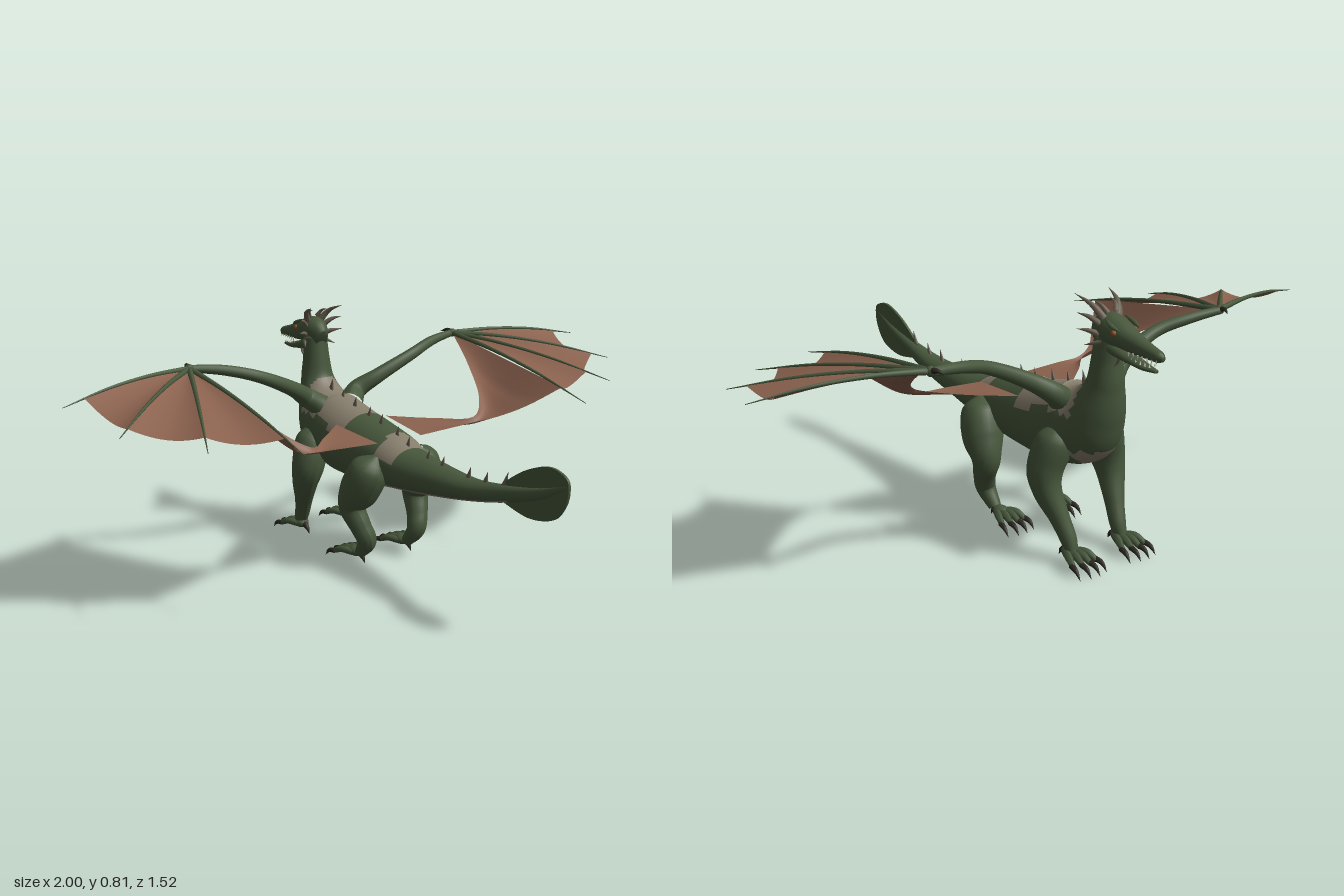
import * as THREE from 'three';

const mat = (name, color, side = THREE.FrontSide) => {
  const m = new THREE.MeshStandardMaterial({ color, side });
  m.name = name;
  return m;
};
const V = (p, sx = 1) => new THREE.Vector3(p[0] * sx, p[1], p[2]);

// Body-like loft: stations are [z, y, half width, half height], running toward -z
function loft(stations, segs, sides, isPatch) {
  const path = new THREE.CatmullRomCurve3(stations.map(s => new THREE.Vector3(0, s[1], s[0])));
  const size = new THREE.CatmullRomCurve3(stations.map(s => new THREE.Vector3(s[2], s[3], 0)));
  const pos = [], main = [], patch = [];
  for (let i = 0; i <= segs; i++) {
    const t = i / segs, c = path.getPoint(t), r = size.getPoint(t), d = path.getTangent(t);
    for (let j = 0; j < sides; j++) {
      const a = j / sides * Math.PI * 2, n = Math.sin(a) * r.y;
      pos.push(Math.cos(a) * r.x, c.y - d.z * n, c.z + d.y * n);
    }
  }
  for (let i = 0; i < segs; i++) for (let j = 0; j < sides; j++) {
    const k = (j + 1) % sides, a = i * sides + j, b = i * sides + k;
    const c = a + sides, d = b + sides;
    const s = Math.sin((j + 0.5) / sides * Math.PI * 2);
    const y = (pos[a * 3 + 1] + pos[d * 3 + 1]) / 2, z = (pos[a * 3 + 2] + pos[d * 3 + 2]) / 2;
    (isPatch && isPatch(y, z, s) ? patch : main).push(a, c, b, b, c, d);
  }
  // end caps
  const last = segs * sides;
  for (let j = 1; j < sides - 1; j++) main.push(0, j, j + 1, last, last + j + 1, last + j);
  const g = new THREE.BufferGeometry();
  g.setAttribute('position', new THREE.Float32BufferAttribute(pos, 3));
  g.setIndex([...main, ...patch]);
  g.addGroup(0, main.length, 0);
  if (patch.length) g.addGroup(main.length, patch.length, 1);
  g.computeVertexNormals();
  return g;
}

// Tube along points whose radius follows a list of values
function taper(points, radii, sx = 1, segs = 24, sides = 14) {
  const curve = new THREE.CatmullRomCurve3(points.map(p => V(p, sx)));
  const rc = new THREE.CatmullRomCurve3(radii.map((r, i) => new THREE.Vector3(r, i, 0)));
  const g = new THREE.TubeGeometry(curve, segs, 1, sides);
  const P = g.attributes.position, v = new THREE.Vector3();
  for (let i = 0; i <= segs; i++) {
    const u = curve.getUtoTmapping(i / segs);
    const c = curve.getPoint(u), r = Math.max(rc.getPoint(u).x, 0.0004);
    for (let j = 0; j <= sides; j++) {
      const k = i * (sides + 1) + j;
      v.fromBufferAttribute(P, k).sub(c).multiplyScalar(r).add(c);
      P.setXYZ(k, v.x, v.y, v.z);
    }
  }
  g.computeVertexNormals();
  return g;
}

// Sheet spanned between two curves, with an optional sag
function sheet(edgeA, edgeB, nu, nv, sag = () => [0, 0]) {
  const pos = [], idx = [];
  for (let i = 0; i <= nu; i++) for (let j = 0; j <= nv; j++) {
    const u = i / nu, v = j / nv, [drop, pull] = sag(u, v);
    const p = edgeA.getPoint(u * (1 - pull)).lerp(edgeB.getPoint(u * (1 - pull)), v);
    pos.push(p.x, p.y - drop, p.z);
    if (i < nu && j < nv) {
      const a = i * (nv + 1) + j, b = a + nv + 1;
      idx.push(a, b, a + 1, a + 1, b, b + 1);
    }
  }
  const g = new THREE.BufferGeometry();
  g.setAttribute('position', new THREE.Float32BufferAttribute(pos, 3));
  g.setIndex(idx);
  g.computeVertexNormals();
  return g;
}

export function createModel() {
  const root = new THREE.Group();
  root.name = 'dragon';
  const green = mat('green scales', 0x46563b), tan = mat('tan patches', 0x857c6b);
  const skin = mat('wing skin', 0x8a614e, THREE.DoubleSide), horn = mat('horn', 0x6a6152);
  const claw = mat('dark claw', 0x2b271f), ivory = mat('tooth ivory', 0xdcd6c4);
  const amber = mat('eye amber', 0x8a4a24);
  const add = (name, geo, m, parent = root) => {
    const mesh = new THREE.Mesh(geo, m);
    mesh.name = name;
    parent.add(mesh);
    return mesh;
  };
  const group = name => {
    const g = new THREE.Group();
    g.name = name;
    root.add(g);
    return g;
  };

  // Tail, trunk and neck in one skin with tan patches
  const patches = (y, z, s) =>
    (z > -0.22 && z < 0.52 && s < -0.68) ||
    (z > -0.05 && z < 0.03 && s > 0.45) ||
    (z > -0.31 && z < -0.22 && s > 0.3) ||
    (z > -0.48 && z <= -0.31 && y > 0.455 && y < 0.56) ||
    (z > -0.54 && z < -0.47 && y > 0.28 && y < 0.35);
  const spine = [[0.755, 0.48, 0.004, 0.006], [0.65, 0.435, 0.014, 0.017], [0.5, 0.395, 0.027, 0.026],
    [0.35, 0.367, 0.044, 0.034], [0.2, 0.356, 0.06, 0.05], [0.04, 0.352, 0.082, 0.069],
    [-0.06, 0.362, 0.1, 0.092], [-0.2, 0.37, 0.112, 0.11], [-0.34, 0.383, 0.115, 0.124],
    [-0.44, 0.415, 0.11, 0.125], [-0.495, 0.475, 0.086, 0.088], [-0.525, 0.55, 0.058, 0.056],
    [-0.53, 0.625, 0.046, 0.045], [-0.535, 0.7, 0.04, 0.04]];
  add('body', loft(spine, 110, 32, patches), [green, tan]);

  // Tail blade
  const blade = new THREE.Shape();
  blade.moveTo(0.48, 0.37);
  blade.splineThru([[0.6, 0.35], [0.7, 0.37], [0.745, 0.415], [0.762, 0.465], [0.75, 0.505],
    [0.68, 0.52], [0.58, 0.485], [0.48, 0.42]].map(p => new THREE.Vector2(...p)));
  const bladeGeo = new THREE.ExtrudeGeometry(blade, { depth: 0.008, bevelEnabled: false });
  add('tailBlade', bladeGeo.translate(0, 0, -0.004).rotateY(-Math.PI / 2), green);

  // Back spikes
  const spikes = group('backSpikes');
  const ridge = [[0.5, 0.425], [0.41, 0.405], [0.33, 0.4], [0.2, 0.402], [0.125, 0.405], [0.02, 0.425],
    [-0.04, 0.445], [-0.13, 0.468], [-0.2, 0.478], [-0.285, 0.495], [-0.36, 0.507], [-0.43, 0.53]];
  for (const [z, y] of ridge) {
    const s = add('backSpike', new THREE.ConeGeometry(0.013, 0.046, 8).scale(0.5, 1, 1), horn, spikes);
    s.position.set(0, y + 0.015, z);
    s.rotation.x = 0.3;
  }

  // Head and jaw
  const head = group('head');
  add('skull', loft([[-0.49, 0.69, 0.022, 0.035], [-0.535, 0.715, 0.043, 0.05], [-0.585, 0.713, 0.043, 0.04],
    [-0.64, 0.7, 0.031, 0.031], [-0.7, 0.69, 0.022, 0.022], [-0.745, 0.684, 0.016, 0.016],
    [-0.76, 0.682, 0.006, 0.007]], 36, 20), green, head);
  add('jaw', loft([[-0.54, 0.675, 0.034, 0.026], [-0.62, 0.655, 0.026, 0.015], [-0.69, 0.643, 0.018, 0.01],
    [-0.735, 0.641, 0.007, 0.005]], 20, 16), green, head);
  for (const sx of [1, -1]) {
    const eye = add('eye', new THREE.SphereGeometry(0.009, 12, 8), amber, head);
    eye.position.set(0.038 * sx, 0.722, -0.598);
    add('brow', taper([[0.036, 0.732, -0.62], [0.041, 0.742, -0.59], [0.036, 0.755, -0.56]],
      [0.002, 0.007, 0.002], sx, 8, 8), green, head);
    // teeth
    for (let i = 0; i < 7; i++) {
      const f = i / 6, z = -0.645 - 0.1 * f;
      const up = add('upperTooth', new THREE.ConeGeometry(0.003, 0.014, 6), ivory, head);
      up.position.set(sx * (0.023 - 0.011 * f), 0.67 + 0.002 * f, z);
      up.rotation.x = Math.PI;
      if (i === 6) continue;
      const low = add('lowerTooth', new THREE.ConeGeometry(0.003, 0.012, 6), ivory, head);
      low.position.set(sx * (0.018 - 0.009 * f), 0.656, z + 0.012);
    }
    // horns, cheek and chin spikes
    const horns = [
      [[0.025, 0.75, -0.54], [0.045, 0.785, -0.515], [0.062, 0.81, -0.455], 0.012],
      [[0.035, 0.735, -0.535], [0.058, 0.755, -0.515], [0.082, 0.765, -0.49], 0.01],
      [[0.037, 0.705, -0.535], [0.058, 0.715, -0.515], [0.085, 0.72, -0.495], 0.01],
      [[0.033, 0.685, -0.545], [0.048, 0.678, -0.525], [0.06, 0.67, -0.5], 0.008],
      [[0.015, 0.765, -0.545], [0.025, 0.785, -0.53], [0.03, 0.795, -0.5], 0.008],
      [[0.015, 0.65, -0.6], [0.017, 0.635, -0.595], [0.018, 0.618, -0.58], 0.006]];
    for (const [a, b, c, r] of horns) add('horn', taper([a, b, c], [r, r * 0.65, 0], sx, 10, 8), horn, head);
  }

  // Legs with toes and claws
  const foot = (x, z, sx, g) => {
    const pad = add('footPad', new THREE.SphereGeometry(0.024, 14, 10).scale(1, 0.75, 1.3), green, g);
    pad.position.set(x * sx, 0.042, z - 0.015);
    for (let i = -1.5; i <= 1.5; i++) {
      const dx = i * 0.022, len = 0.1 - Math.abs(i) * 0.01;
      const tip = [x + dx * 1.3, 0.028, z - len];
      add('toe', taper([[x + dx * 0.4, 0.04, z - 0.01], [x + dx, 0.043, z - len * 0.6], tip],
        [0.012, 0.012, 0.008], sx, 10, 8), green, g);
      add('claw', taper([[tip[0], 0.031, tip[2] + 0.01], [tip[0] + dx * 0.15, 0.026, tip[2] - 0.018],
        [tip[0] + dx * 0.2, 0.004, tip[2] - 0.04]], [0.009, 0.007, 0], sx, 8, 8), claw, g);
    }
    add('heelClaw', taper([[x, 0.045, z], [x, 0.032, z + 0.025], [x, 0.012, z + 0.038]],
      [0.012, 0.008, 0], sx, 8, 8), claw, g);
  };
  for (const sx of [1, -1]) {
    const side = sx > 0 ? 'left' : 'right';
    const hind = group(side + 'HindLeg');
    add('hindLimb', taper([[0.085, 0.395, -0.035], [0.1, 0.355, -0.05], [0.118, 0.28, -0.085],
      [0.128, 0.215, -0.118], [0.115, 0.15, -0.09], [0.1, 0.1, -0.075], [0.095, 0.045, -0.12]],
      [0.01, 0.06, 0.066, 0.046, 0.036, 0.032, 0.02], sx, 36, 18), green, hind);
    foot(0.095, -0.135, sx, hind);
    const fore = group(side + 'ForeLeg');
    add('foreLimb', taper([[0.075, 0.42, -0.42], [0.09, 0.37, -0.418], [0.118, 0.28, -0.405],
      [0.122, 0.22, -0.42], [0.106, 0.14, -0.46], [0.095, 0.075, -0.493], [0.095, 0.04, -0.51]],
      [0.01, 0.055, 0.056, 0.045, 0.031, 0.025, 0.018], sx, 36, 18), green, fore);
    foot(0.095, -0.475 - 0.01, sx, fore);

    // Wing arm
    const wing = group(side + 'Wing');
    add('wingArm', taper([[0.06, 0.48, -0.4], [0.1, 0.51, -0.43], [0.17, 0.555, -0.405], [0.31, 0.62, -0.39],
      [0.42, 0.65, -0.42], [0.535, 0.665, -0.445]], [0.04, 0.034, 0.026, 0.02, 0.017, 0.012], sx, 36), green, wing);
    const wrist = [0.53, 0.665, -0.44];
    const knob = add('wrist', new THREE.SphereGeometry(0.015, 12, 8), green, wing);
    knob.position.copy(V(wrist, sx));
    add('thumbClaw', taper([wrist, [0.527, 0.672, -0.465], [0.515, 0.665, -0.49]], [0.011, 0.007, 0], sx, 8, 8), claw, wing);

    // Fingers: tip and the share of the finger that carries skin
    const fingers = [[[1, 0.632, -0.31], 0.84], [[0.94, 0.588, -0.05], 0.9],
      [[0.765, 0.56, 0.14], 0.86], [[0.53, 0.54, 0.27], 0.84]].map(([tip, reach]) => {
      const at = f => [wrist[0] + (tip[0] - wrist[0]) * f,
        wrist[1] + (tip[1] - wrist[1]) * f + 0.07 * f * (1 - f), wrist[2] + (tip[2] - wrist[2]) * f];
      add('finger', taper([0, 0.33, 0.66, 1].map(at), [0.01, 0.007, 0.005, 0.001], sx, 20, 8), green, wing);
      return new THREE.CatmullRomCurve3([0, 0.33, 0.66, 1].map(f => V(at(f * reach), sx)));
    });
    for (let i = 0; i < 3; i++) {
      add('wingSkin', sheet(fingers[i], fingers[i + 1], 14, 12, (u, v) => {
        const bow = 4 * v * (1 - v);
        return [0.028 * u * bow, 0.03 * u * bow];
      }), skin, wing);
    }
    // Narrow skin from the last finger to the flank
    const upper = [wrist, [0.46, 0.59, -0.26], [0.385, 0.5, -0.1], [0.32, 0.46, -0.05], [0.22, 0.452, -0.14], [0.1, 0.455, -0.25]];
    const lower = [[0.53, 0.571, 0.153], [0.45, 0.505, 0.075], [0.385, 0.465, 0.01], [0.31, 0.448, -0.027], [0.22, 0.444, -0.028], [0.085, 0.438, -0.03]];
    const curve = pts => new THREE.CatmullRomCurve3(pts.map(p => V(p, sx)));
    add('innerWingSkin', sheet(curve(upper), curve(lower), 30, 8,
      (u, v) => [0.03 * (1 - u) * 4 * v * (1 - v) * Math.min(1, u * 6), 0]), skin, wing);
  }
  return root;
}
